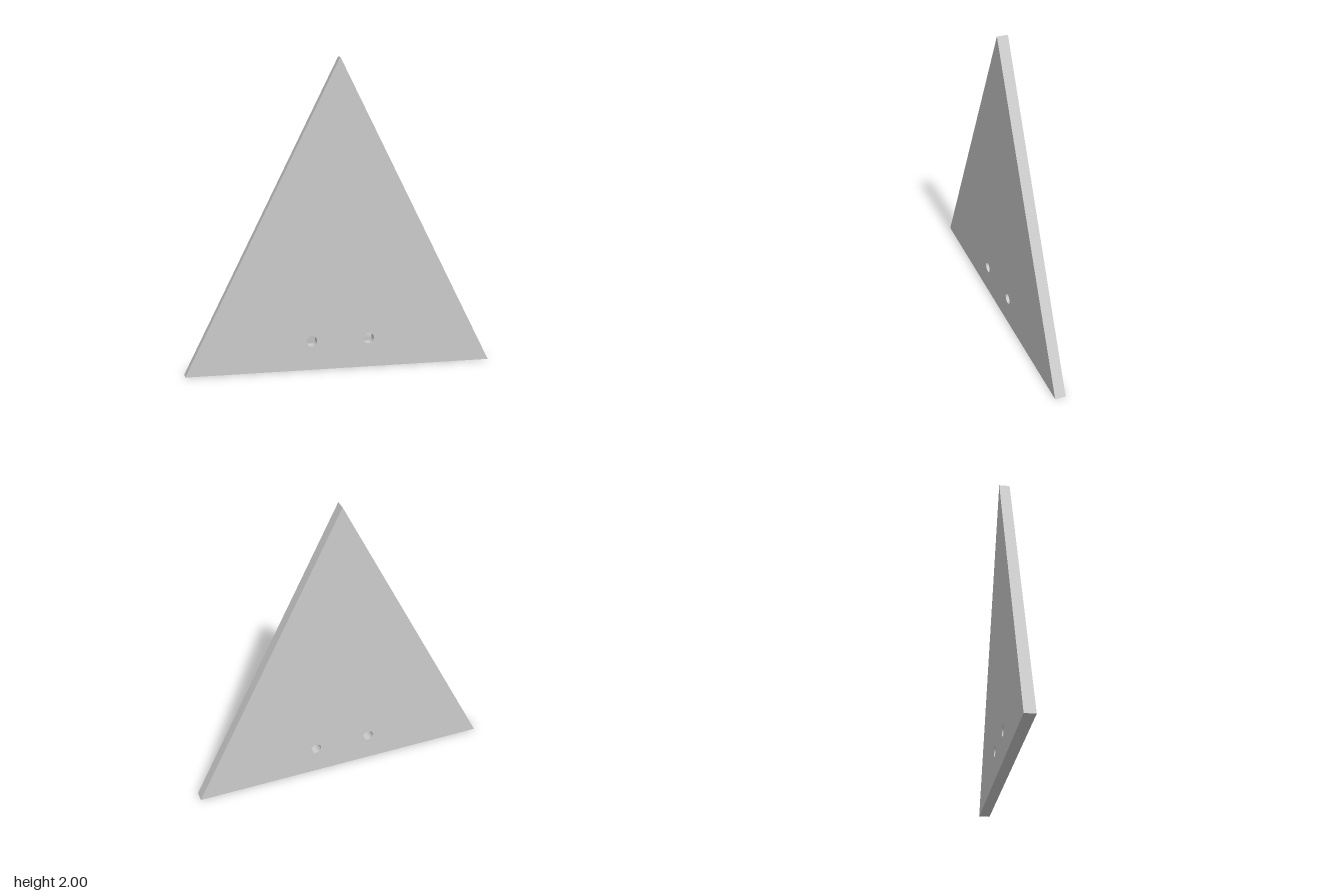
import * as THREE from 'three';

const THICKNESS = 0.07;
const HOLE_RADIUS = 0.035;

export function createModel() {
  const group = new THREE.Group();
  group.name = 'triangularPlate';

  // Triangular outline
  const outline = new THREE.Shape();
  outline.moveTo(-1, 0);
  outline.lineTo(1, 0);
  outline.lineTo(0, 2);
  outline.closePath();

  // Pair of round through-holes near the base
  for (const side of [-1, 1]) {
    const hole = new THREE.Path();
    hole.absarc(side * 0.1875, 0.19, HOLE_RADIUS, 0, Math.PI * 2, true);
    outline.holes.push(hole);
  }

  // Flat plate, centred on its thickness
  const geometry = new THREE.ExtrudeGeometry(outline, {
    depth: THICKNESS,
    bevelEnabled: false,
    curveSegments: 32,
  });
  geometry.translate(0, 0, -THICKNESS / 2);

  const plate = new THREE.Mesh(geometry, new THREE.MeshStandardMaterial({ color: 0xcccccc }));
  plate.name = 'plate';
  group.add(plate);
  return group;
}
